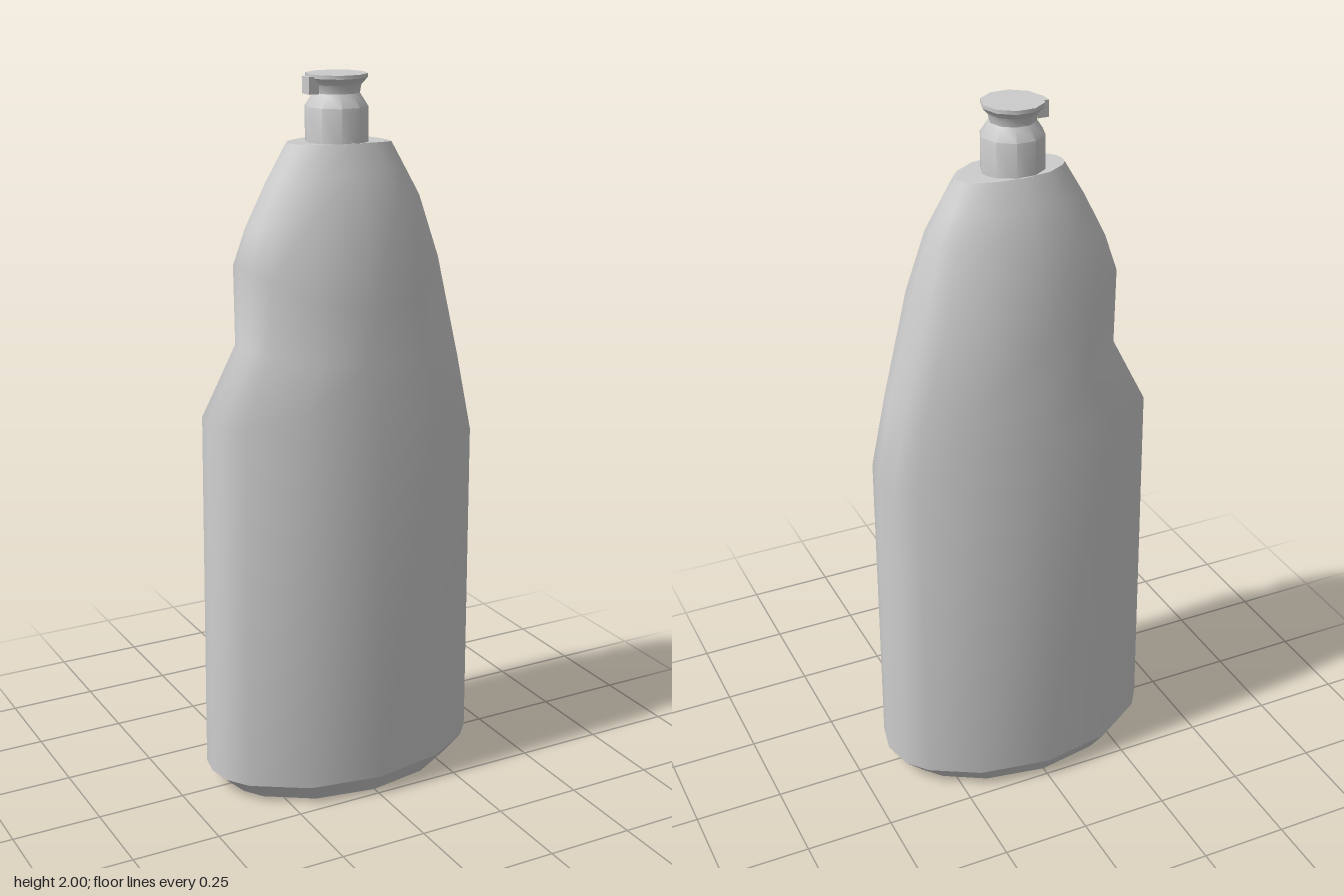
import * as THREE from 'three';
import { toCreasedNormals } from 'three/addons/utils/BufferGeometryUtils.js';

const material = new THREE.MeshStandardMaterial({ color: 0xcccccc });

// Half outline of the oval section, from the right end round the front to the left end
const half = [[1, 0], [0.95, 0.35], [0.83, 0.57], [0.5, 0.865], [0, 1],
  [-0.5, 0.865], [-0.865, 0.5], [-0.97, 0.26], [-1, 0]];
const outline = [...half, ...half.slice(1, -1).reverse().map(([x, z]) => [x, -z])];

// A section: [x of -x end, x of +x end, half depth, y at -x end, y in the middle, y at +x end]
function section([xl, xr, d, yl, ym, yr]) {
  return outline.map(([u, w]) => {
    const x = u > 0 ? u * xr : -u * xl;
    const y = ym + ((u > 0 ? yr : yl) - ym) * u * u;
    return [x, y, w * d];
  });
}

// Skin over a stack of sections, with optional flat ends
function loft(sections, { bottom = false, top = false } = {}) {
  const n = outline.length, index = [];
  const position = sections.flatMap((s) => section(s).flat());
  for (let i = 0; i < sections.length - 1; i++) {
    for (let j = 0; j < n; j++) {
      const a = i * n + j, b = i * n + (j + 1) % n;
      index.push(a, a + n, b, b, a + n, b + n);
    }
  }
  const last = (sections.length - 1) * n;
  for (let j = 1; j < n - 1; j++) {
    if (bottom) index.push(0, j, j + 1);
    if (top) index.push(last, last + j + 1, last + j);
  }
  const g = new THREE.BufferGeometry();
  g.setAttribute('position', new THREE.Float32BufferAttribute(position, 3));
  g.setIndex(index);
  g.computeVertexNormals();
  return g;
}

export function createModel() {
  const model = new THREE.Group();
  model.name = 'bottle';
  const add = (name, geometry) => {
    const mesh = new THREE.Mesh(geometry, material);
    mesh.name = name;
    model.add(mesh);
    return mesh;
  };

  const foot = [-0.405, 0.405, 0.258, 0.055, 0.055, 0.055];
  const rim = [-0.145, 0.155, 0.088, 1.825, 1.825, 1.815];

  // Body with a grip notch on the -x side and a pinched waist
  add('body', loft([
    foot,
    [-0.395, 0.405, 0.24, 1.09, 1.15, 0.97],
    [-0.295, 0.365, 0.195, 1.29, 1.25, 1.2],
    [-0.295, 0.287, 0.212, 1.51, 1.4, 1.51],
    [-0.265, 0.235, 0.149, 1.6, 1.67, 1.67],
    [-0.203, 0.191, 0.118, 1.725, 1.75, 1.75],
    rim,
  ]));

  // Bevelled base with a flat underside
  add('base', toCreasedNormals(loft([[-0.345, 0.345, 0.225, 0, 0, 0], foot], { bottom: true }), 0.45));

  // Flat shoulder under the neck
  add('shoulder', loft([rim], { top: true }));

  // Ten-sided neck and flared cap
  const profile = [[0.085, 1.8], [0.085, 1.915], [0.062, 1.95], [0.066, 1.972], [0.083, 1.99], [0.083, 2], [0, 2]]
    .map(([r, y]) => new THREE.Vector2(r, y));
  const neck = new THREE.LatheGeometry(profile, 10, Math.PI / 2);
  add('neckAndCap', toCreasedNormals(neck, 0.65)).position.x = -0.003;

  // Small catch on the -x side of the cap
  add('capCatch', new THREE.BoxGeometry(0.03, 0.045, 0.04)).position.set(-0.08, 1.972, 0);

  return model;
}
